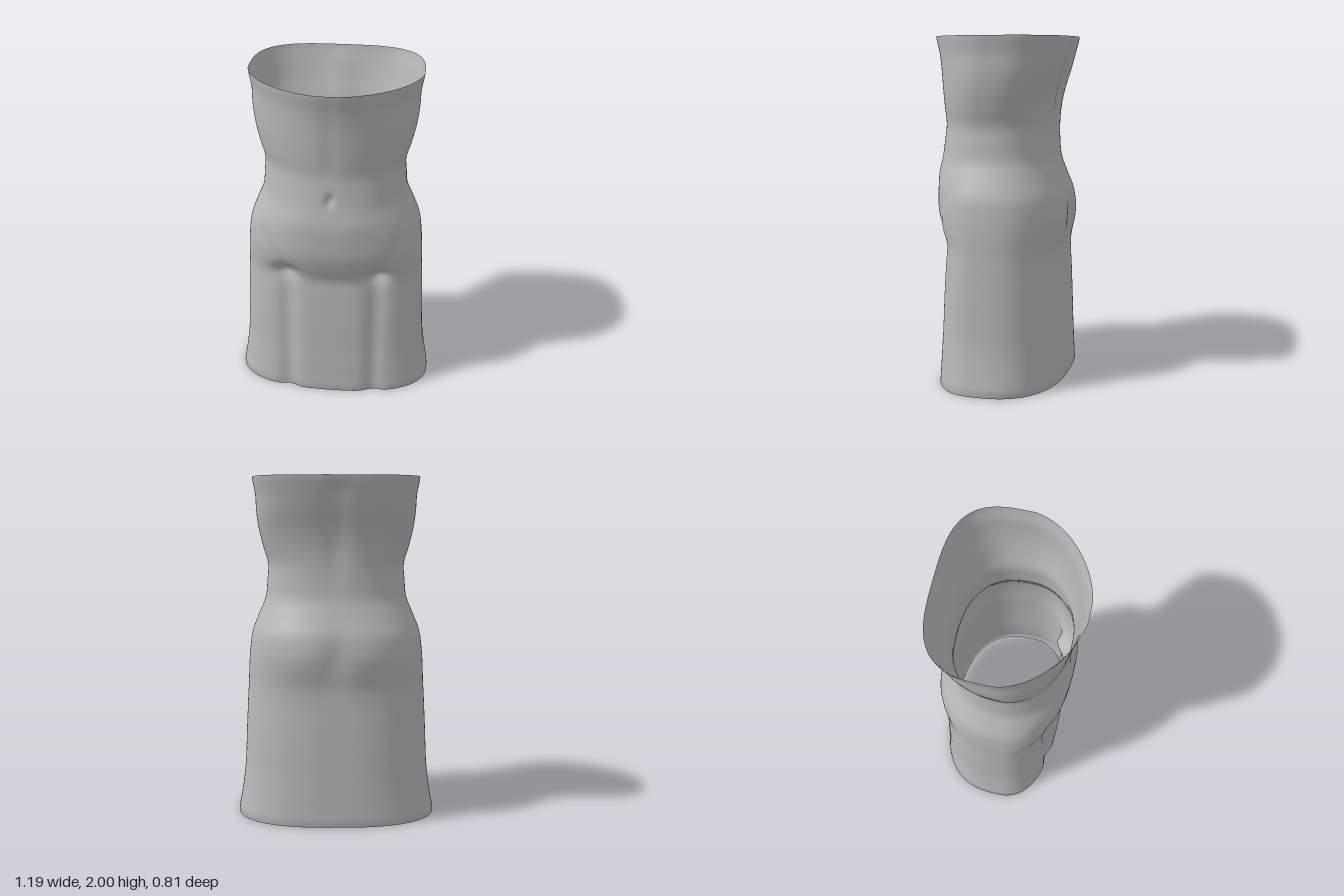
import * as THREE from 'three';

// Section data every 0.1 from the hem (y = 0) to the top rim (y = 2)
const HALF_WIDTH = [.595, .578, .563, .552, .547, .543, .538, .533, .527, .523, .515,
  .50, .462, .422, .41, .405, .432, .455, .468, .472, .488];
const FRONT = [.338, .335, .332, .328, .325, .322, .318, .314, .312, .345, .37,
  .376, .375, .358, .348, .34, .35, .36, .37, .385, .408];
const BACK = [.405, .401, .397, .393, .39, .386, .382, .377, .378, .393, .402,
  .392, .355, .322, .312, .31, .315, .332, .36, .385, .406];
// Roundness exponents every 0.5
const FRONT_POWER = [2.5, 2.4, 2.2, 2.0, 1.75];
const BACK_POWER = [2.6, 2.6, 2.5, 2.5, 3.2];

// Smooth interpolation through evenly spaced values
function sample(values, y) {
  const last = values.length - 1;
  const p = (y / 2) * last;
  const i = Math.min(Math.floor(p), last - 1);
  const t = p - i;
  const at = (k) => values[Math.max(0, Math.min(last, k))];
  const m0 = (at(i + 1) - at(i - 1)) / 2;
  const m1 = (at(i + 2) - at(i)) / 2;
  const d = at(i + 1) - at(i);
  return at(i) + t * (m0 + t * (3 * d - 2 * m0 - m1 + t * (m0 + m1 - 2 * d)));
}

const bump = (d, size) => Math.exp(-((d / size) ** 2));
const step = (y, a, b) => THREE.MathUtils.smoothstep(y, a, b);

// How far the front surface is pushed in
function frontDent(x, y) {
  const ax = Math.abs(x);
  let dent = 0.024 * bump(ax - 0.26, 0.055) * (1 - step(y, 0.8, 0.95)); // skirt grooves
  dent += 0.035 * bump(ax - 0.27, 0.075) * bump(y - 0.84, 0.05); // groin hollows
  for (let k = 1; k <= 4; k++) { // diagonal groin creases
    dent += 0.007 * bump(ax - 0.26 - k * 0.035, 0.04) * bump(y - 0.85 - k * 0.06, 0.05);
  }
  dent += 0.022 * bump(x, 0.022) * bump(y - 1.36, 0.04); // navel
  dent += 0.006 * bump(x, 0.05) * step(y, 1.4, 1.6); // midline
  dent -= 0.006 * bump(ax - 0.16, 0.1) * bump(y - 1.25, 0.12);
  return dent;
}

// How far the back surface is pushed in
function backDent(x, y) {
  return 0.014 * bump(x, 0.07) * bump(y - 0.98, 0.14)
    + 0.012 * bump(x, 0.06) * step(y, 1.3, 1.6) * (1 - step(y, 1.9, 2.0))
    - 0.008 * bump(Math.abs(x) - 0.2, 0.12) * bump(y - 0.95, 0.1);
}

function surfacePoint(theta, y) {
  const c = Math.cos(theta);
  const s = Math.sin(theta);
  const front = s >= 0;
  const e = 2 / sample(front ? FRONT_POWER : BACK_POWER, y);
  const middle = 0.03 * (1 - step(y, 1.5, 2));
  const depth = front ? sample(FRONT, y) - middle : sample(BACK, y) + middle;
  const x = sample(HALF_WIDTH, y) * Math.sign(c) * Math.abs(c) ** e;
  let z = middle + depth * Math.sign(s) * Math.abs(s) ** e;
  if (front) z -= frontDent(x, y) * Math.min(1, s * 2);
  else z += backDent(x, y) * Math.min(1, -s * 2);
  return [x, y, z];
}

function shellGeometry() {
  const around = 160;
  const rows = 120;
  const positions = [];
  const indices = [];
  const addRing = (y, scale = 1, lift = 0) => {
    for (let j = 0; j < around; j++) {
      const [px, py, pz] = surfacePoint((j / around) * Math.PI * 2, y);
      positions.push(px * scale, py + lift, pz * scale);
    }
  };
  for (let i = 0; i <= rows; i++) addRing(2 - (1.95 * i) / rows);
  addRing(0);
  addRing(0, 0.975, 0.003); // narrow turned-in hem
  for (let r = 0; r < rows + 2; r++) {
    for (let j = 0; j < around; j++) {
      const k = (j + 1) % around;
      const a = r * around + j;
      const b = r * around + k;
      indices.push(a, b, b + around, a, b + around, a + around);
    }
  }
  const geometry = new THREE.BufferGeometry();
  geometry.setAttribute('position', new THREE.Float32BufferAttribute(positions, 3));
  geometry.setIndex(indices);
  geometry.computeVertexNormals();
  return geometry;
}

export function createModel() {
  const grey = new THREE.MeshStandardMaterial({ color: 0xb8b8b8, side: THREE.DoubleSide });
  grey.name = 'plain grey';
  const group = new THREE.Group();
  group.name = 'torsoDress';
  const shell = new THREE.Mesh(shellGeometry(), grey);
  shell.name = 'dressShell';
  group.add(shell);
  return group;
}
